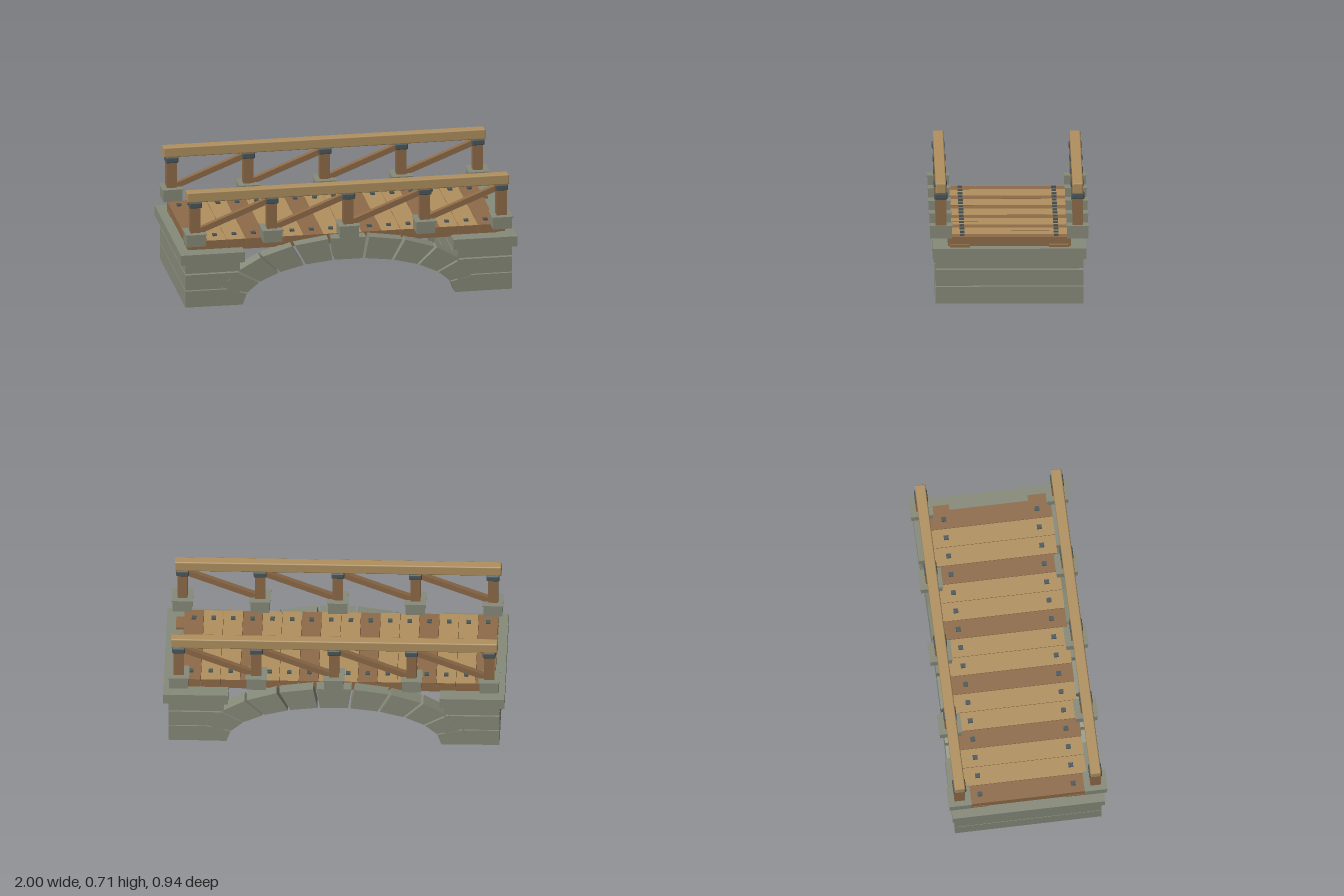
import * as THREE from 'three';
import { RoundedBoxGeometry } from 'three/addons/geometries/RoundedBoxGeometry.js';

const material = (name, color) => {
  const m = new THREE.MeshStandardMaterial({ color, side: THREE.DoubleSide });
  m.name = name;
  return m;
};

export function createModel() {
  const stone = material('stone', 0x868a79);
  const darkWood = material('dark wood', 0x8e6b48);
  const lightWood = material('light wood', 0xb0905f);
  const iron = material('iron', 0x4a585c);

  const bridge = new THREE.Group();
  bridge.name = 'footbridge';

  const add = (name, geometry, mat, x = 0, y = 0, z = 0) => {
    const mesh = new THREE.Mesh(geometry, mat);
    mesh.name = name;
    mesh.position.set(x, y, z);
    bridge.add(mesh);
    return mesh;
  };
  // Box given by its bottom and top heights
  const box = (name, mat, x, y0, y1, z, w, d) =>
    add(name, new THREE.BoxGeometry(w, y1 - y0, d), mat, x, (y0 + y1) / 2, z);
  const rounded = (name, mat, x, y0, y1, z, w, d) =>
    add(name, new RoundedBoxGeometry(w, y1 - y0, d, 1, 0.007), mat, x, (y0 + y1) / 2, z);
  // Same box without its bottom face
  const openBox = (...args) => {
    const mesh = box(...args);
    const g = mesh.geometry;
    const index = Array.from(g.index.array);
    index.splice(18, 6);
    g.setIndex(index);
    g.clearGroups();
    [0, 6, 12, 18, 24].forEach((start, i) => g.addGroup(start, 6, i));
    if (!Array.isArray(mesh.material)) mesh.material = Array(5).fill(mesh.material);
    return mesh;
  };

  // Abutments: three courses with open joints under a wider cap
  for (const s of [-1, 1]) {
    for (const [y0, y1] of [[0, 0.1], [0.106, 0.2], [0.209, 0.27]]) {
      openBox('abutmentCourse', stone, s * 0.808, y0, y1, 0, 0.325, 0.866);
    }
    box('abutmentCap', stone, s * 0.81, 0.268, 0.33, 0, 0.38, 0.9);
  }

  // Arch rings: eleven wedge stones along an ellipse on each side
  const stones = 11;
  const step = Math.PI / stones;
  const gap = 0.012;
  const onArch = (a, b, t) => new THREE.Vector2(a * Math.cos(t), b * Math.sin(t));
  for (let i = 0; i < stones; i++) {
    const t0 = i * step + (i === 0 ? 0 : gap);
    const t1 = (i + 1) * step - (i === stones - 1 ? 0 : gap);
    const wedge = new THREE.Shape([
      onArch(0.63, 0.247, t0), onArch(0.79, 0.38, t0),
      onArch(0.79, 0.38, t1), onArch(0.63, 0.247, t1),
    ]);
    const geometry = new THREE.ExtrudeGeometry(wedge, { depth: 0.095, bevelEnabled: false });
    add('archStone', geometry, stone, 0, 0, 0.34);
    add('archStone', geometry, stone, 0, 0, -0.435);
  }

  // Deck: planks with pale tops, every third one dark, and a nail at each end
  for (let i = 0; i < 16; i++) {
    const x = -0.885 + i * 0.115;
    const top = i % 3 === 0 ? darkWood : lightWood;
    const plank = openBox('plank', darkWood, x, 0.33, 0.382, 0, 0.113, 0.72);
    plank.material = [darkWood, darkWood, top, darkWood, darkWood];
    for (const s of [-1, 1]) box('nail', iron, x, 0.38, 0.392, s * 0.275, 0.026, 0.028);
  }
  for (const s of [-1, 1]) box('stringer', darkWood, 0, 0.315, 0.343, s * 0.29, 1.89, 0.115);

  // Railings
  const postX = [-0.91, -0.455, 0, 0.455, 0.91];
  for (const s of [-1, 1]) {
    const z = s * 0.401;
    postX.forEach((x, i) => {
      openBox('postBase', stone, x, 0.385, 0.455, z, 0.113, 0.126);
      box('postBaseLip', stone, x, 0.453, 0.46, z, 0.125, 0.135);
      box('post', darkWood, x, 0.385, 0.652, z, 0.06, 0.062);
      rounded('postCollar', iron, x, 0.614, 0.65, z, 0.076, 0.076);

      // Brace rising from this post's foot to the next post's head
      if (i < postX.length - 1) {
        const from = new THREE.Vector2(x + 0.015, 0.461);
        const to = new THREE.Vector2(postX[i + 1] - 0.01, 0.632);
        const run = to.clone().sub(from);
        const brace = add('brace', new THREE.BoxGeometry(run.length(), 0.033, 0.034), darkWood,
          (from.x + to.x) / 2, (from.y + to.y) / 2, z);
        brace.rotation.z = run.angle();
      }
    });
    rounded('handrail', lightWood, -0.002, 0.648, 0.71, z, 1.915, 0.062);
  }
  return bridge;
}
